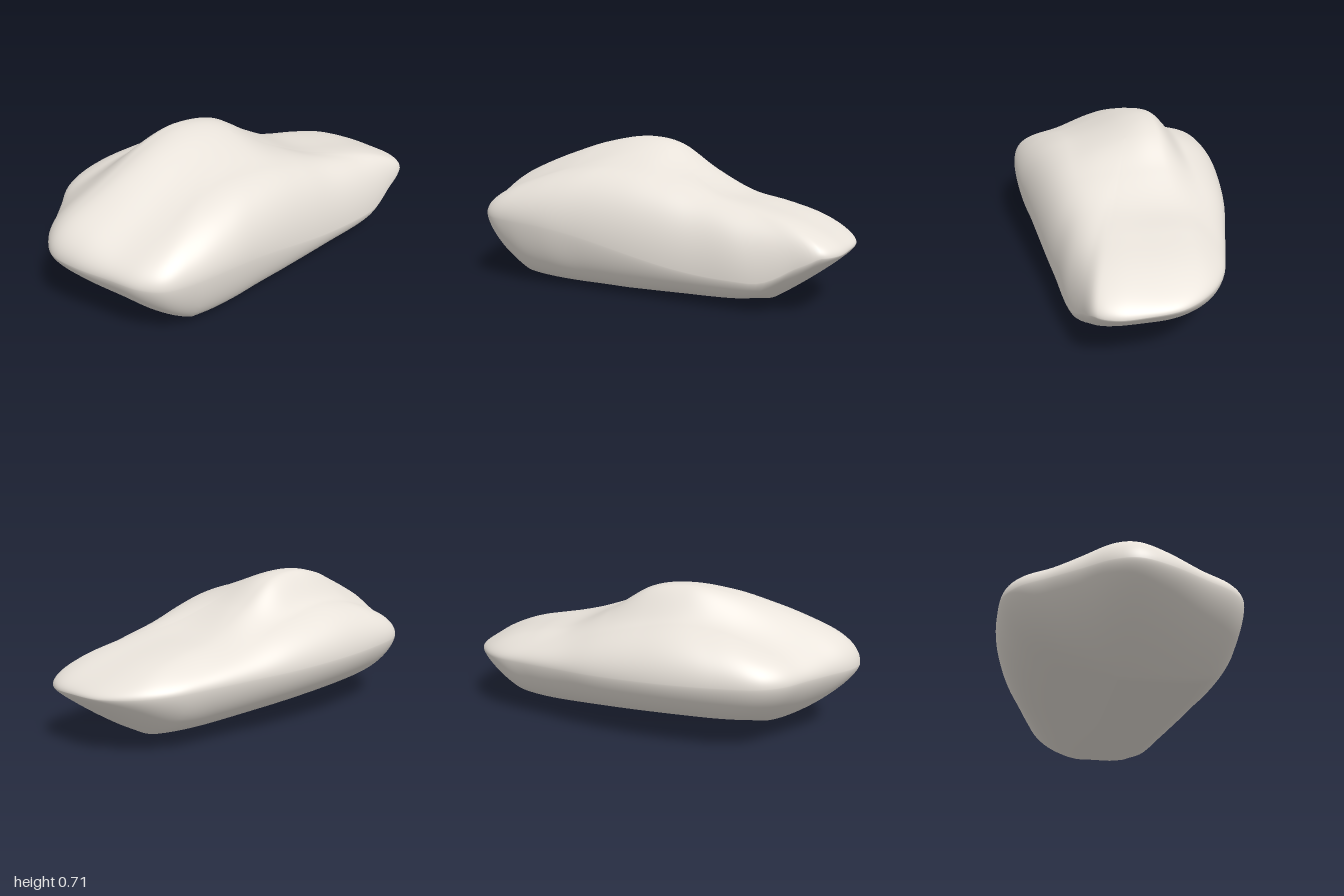
import * as THREE from 'three';

const { smoothstep, lerp } = THREE.MathUtils;
const AROUND = 180;
const RINGS = 120;

// Widest outline of the rock seen from above: x, z, from the back round by +x
const RIM = [
  [0.1, -1], [0.22, -0.995], [0.3, -0.95], [0.34, -0.82], [0.385, -0.62], [0.41, -0.4],
  [0.44, -0.2], [0.47, 0], [0.5, 0.2], [0.53, 0.4], [0.535, 0.6], [0.51, 0.74],
  [0.44, 0.82], [0.3, 0.89], [0.14, 0.965], [0, 1], [-0.1, 0.97], [-0.22, 0.88],
  [-0.34, 0.79], [-0.46, 0.7], [-0.52, 0.6], [-0.54, 0.4], [-0.535, 0.2], [-0.51, 0],
  [-0.47, -0.2], [-0.41, -0.4], [-0.35, -0.6], [-0.29, -0.77], [-0.2, -0.89], [-0.06, -0.98],
];

// Crown heights at even steps from z = -1 to z = 1: -x shoulder, ridge, +x shoulder
const CROWN = [
  [0.36, 0.38, 0.42], [0.4, 0.435, 0.45], [0.43, 0.455, 0.465], [0.465, 0.475, 0.49],
  [0.52, 0.565, 0.545], [0.56, 0.68, 0.59], [0.585, 0.71, 0.605], [0.57, 0.69, 0.585],
  [0.54, 0.645, 0.55], [0.525, 0.61, 0.52], [0.52, 0.61, 0.51],
];

const rimCurve = new THREE.CatmullRomCurve3(RIM.map(([x, z]) => new THREE.Vector3(x, 0, z)), true);
const crownCurve = new THREE.CatmullRomCurve3(CROWN.map((h) => new THREE.Vector3(...h)), false, 'catmullrom');

// Crown before rounding: sloping shoulders with an off-centre ridge, steep on its -x flank
function crownHeight(x, z) {
  const heights = crownCurve.getPoint(THREE.MathUtils.clamp((z + 1) / 2, 0, 1));
  const shoulders = lerp(heights.x, heights.z, smoothstep(x, -0.3, 0.2));
  const nose = smoothstep(z, 0.2, 0.9);
  const ridgeX = -0.13 + 0.12 * nose;
  const rise = x < ridgeX
    ? smoothstep(x, ridgeX - 0.2 - 0.16 * nose, ridgeX - 0.03)
    : 1 - smoothstep(x, ridgeX, ridgeX + 0.4);
  return lerp(shoulders, heights.y, rise);
}

// Underside before rounding: flat base with facets rising to -x, front and back
function baseHeight(x, z) {
  const side = 0.33 * Math.max(0, -x - 0.01);
  const front = 0.42 * Math.max(0, z - 0.56);
  const back = 0.5 * Math.max(0, -z - 0.7) + 0.04 * Math.max(0, -z);
  return Math.hypot(side, front, back);
}

// Rings grow from the top centre to the rim and shrink back to the bottom centre
function boulderGeometry() {
  const positions = [];
  const indices = [];
  for (let i = 0; i <= RINGS; i++) {
    const scale = Math.sin((i / RINGS) * Math.PI);
    for (let j = 0; j < AROUND; j++) {
      const edge = rimCurve.getPoint(j / AROUND);
      const x = edge.x * scale;
      const z = edge.z * scale;
      // The rim dips along the rear of the +x wall, which stands steeper there
      const dip = 0.14 * smoothstep(edge.x, 0.3, 0.38) * (1 - smoothstep(edge.z, -0.5, 0.5));
      const rimY = 0.31 + 0.03 * edge.z - 0.02 * edge.x - dip;
      const upper = i <= RINGS / 2;
      const target = upper ? crownHeight(x, z) : baseHeight(x, z);
      const power = upper ? 3 + 13 * dip : 7;
      const blend = Math.max(0, 1 - scale ** power) ** (upper ? 0.5 : 0.65);
      positions.push(x, lerp(rimY, target, blend), z);
    }
  }
  for (let i = 0; i < RINGS; i++) {
    for (let j = 0; j < AROUND; j++) {
      const a = i * AROUND + j;
      const b = i * AROUND + ((j + 1) % AROUND);
      indices.push(a, b, a + AROUND, b, b + AROUND, a + AROUND);
    }
  }
  const geometry = new THREE.BufferGeometry();
  geometry.setAttribute('position', new THREE.Float32BufferAttribute(positions, 3));
  geometry.setIndex(indices);
  geometry.computeVertexNormals();
  return geometry;
}

export function createModel() {
  const group = new THREE.Group();
  group.name = 'rock';
  const boulder = new THREE.Mesh(boulderGeometry(), new THREE.MeshStandardMaterial({ color: 0xe8e2da }));
  boulder.name = 'boulder';
  group.add(boulder);
  return group;
}
